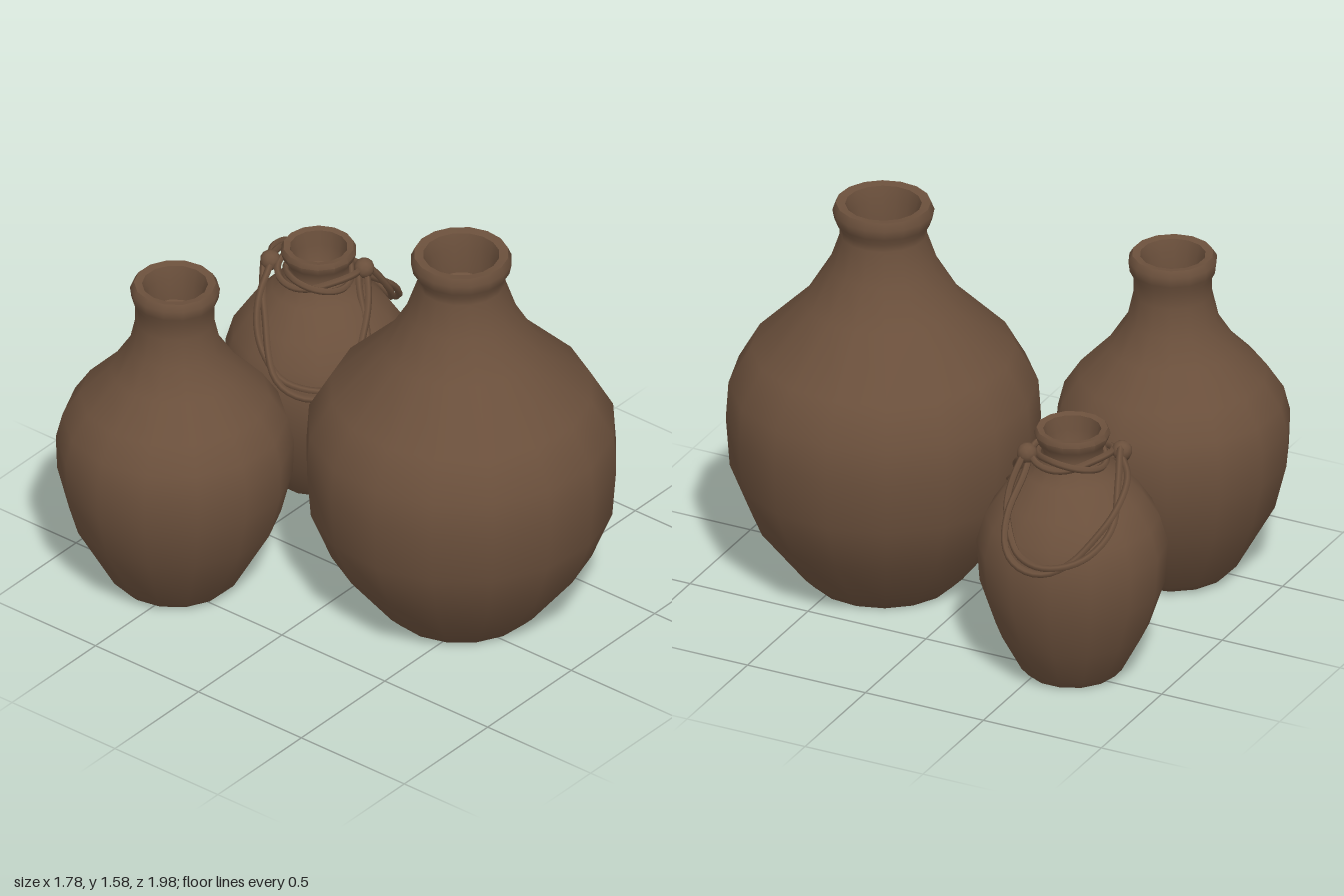
import * as THREE from 'three';
import { toCreasedNormals } from 'three/addons/utils/BufferGeometryUtils.js';

const clay = new THREE.MeshStandardMaterial({ color: 0x6b503c });
clay.name = 'brown clay';

// Lathe-turned jar: flat base, outer wall, lip, then hollow neck down to a shallow floor
function makeJar(name, x, z, profile, sides, turn) {
  const points = profile.map(([r, y]) => new THREE.Vector2(r, y));
  const lathe = new THREE.LatheGeometry(points, sides, turn);
  const jar = new THREE.Mesh(toCreasedNormals(lathe, 0.85), clay);
  jar.name = name;
  jar.position.set(x, 0, z);
  return jar;
}

// Two strands twisted round one another along a path
function makeRope(name, path, closed = false) {
  const rope = new THREE.Group();
  rope.name = name;
  const curve = new THREE.CatmullRomCurve3(path.map((p) => new THREE.Vector3(...p)), closed);
  const steps = 28;
  const frames = curve.computeFrenetFrames(steps, closed);
  for (const phase of [0, Math.PI]) {
    const strand = [];
    for (let i = 0; i < (closed ? steps : steps + 1); i++) {
      const a = phase + (i / steps) * Math.PI * 4;
      strand.push(curve.getPointAt(i / steps)
        .addScaledVector(frames.normals[i], Math.cos(a) * 0.017)
        .addScaledVector(frames.binormals[i], Math.sin(a) * 0.017));
    }
    const tube = new THREE.TubeGeometry(new THREE.CatmullRomCurve3(strand, closed), 40, 0.014, 5, closed);
    const mesh = new THREE.Mesh(tube, clay);
    mesh.name = name + 'Strand';
    rope.add(mesh);
  }
  return rope;
}

export function createModel() {
  const model = new THREE.Group();
  model.name = 'clayJars';

  model.add(makeJar('largeJar', 0.1, 0.385, [
    [0, 0.02], [0.28, 0.01], [0.32, 0.05], [0.5, 0.28], [0.58, 0.48], [0.595, 0.68], [0.585, 0.83],
    [0.5, 0.98], [0.3, 1.18], [0.21, 1.33], [0.165, 1.46], [0.165, 1.49], [0.185, 1.52], [0.193, 1.56],
    [0.18, 1.59], [0.145, 1.585], [0.13, 1.53], [0.125, 1.42], [0, 1.34],
  ], 16, 0.1));

  model.add(makeJar('mediumJar', -0.45, -0.56, [
    [0, 0.025], [0.22, 0.02], [0.25, 0.05], [0.4, 0.32], [0.445, 0.5], [0.45, 0.64], [0.425, 0.74],
    [0.36, 0.84], [0.245, 0.96], [0.175, 1.07], [0.15, 1.18], [0.15, 1.25], [0.165, 1.28], [0.17, 1.32],
    [0.155, 1.345], [0.125, 1.34], [0.11, 1.29], [0.105, 1.2], [0, 1.12],
  ], 14, 0.2));

  model.add(makeJar('smallJar', 0.46, -0.6, [
    [0, 0.02], [0.18, 0.015], [0.21, 0.05], [0.29, 0.2], [0.35, 0.38], [0.362, 0.55], [0.33, 0.66],
    [0.27, 0.75], [0.18, 0.85], [0.12, 0.91], [0.115, 0.95], [0.135, 0.98], [0.145, 1.01],
    [0.135, 1.03], [0.11, 1.025], [0.1, 0.97], [0.09, 0.9], [0, 0.84],
  ], 14, 0));

  // Rope wound round the neck of the small jar
  const neck = [];
  for (let i = 0; i < 10; i++) {
    const a = (i / 10) * Math.PI * 2;
    neck.push([0.46 + Math.cos(a) * 0.14, 0.925, -0.6 + Math.sin(a) * 0.14]);
  }
  model.add(makeRope('neckRope', neck, true));

  // Hanging rope loops on either side
  model.add(makeRope('leftRopeLoop', [
    [0.39, 0.94, -0.77], [0.53, 0.89, -0.85], [0.7, 0.78, -0.88], [0.82, 0.67, -0.8], [0.865, 0.62, -0.67],
    [0.83, 0.64, -0.54], [0.72, 0.76, -0.46], [0.56, 0.93, -0.46],
  ]));
  model.add(makeRope('rightRopeLoop', [
    [0.38, 0.94, -0.78], [0.25, 0.84, -0.71], [0.14, 0.72, -0.6], [0.095, 0.64, -0.48], [0.15, 0.61, -0.36],
    [0.28, 0.64, -0.28], [0.42, 0.77, -0.34], [0.55, 0.92, -0.46],
  ]));

  // Knots where the loops meet the neck
  for (const [x, z] of [[0.38, -0.77], [0.56, -0.46]]) {
    const knot = new THREE.Mesh(new THREE.IcosahedronGeometry(0.04, 1), clay);
    knot.name = 'ropeKnot';
    knot.position.set(x, 0.935, z);
    model.add(knot);
  }
  return model;
}
